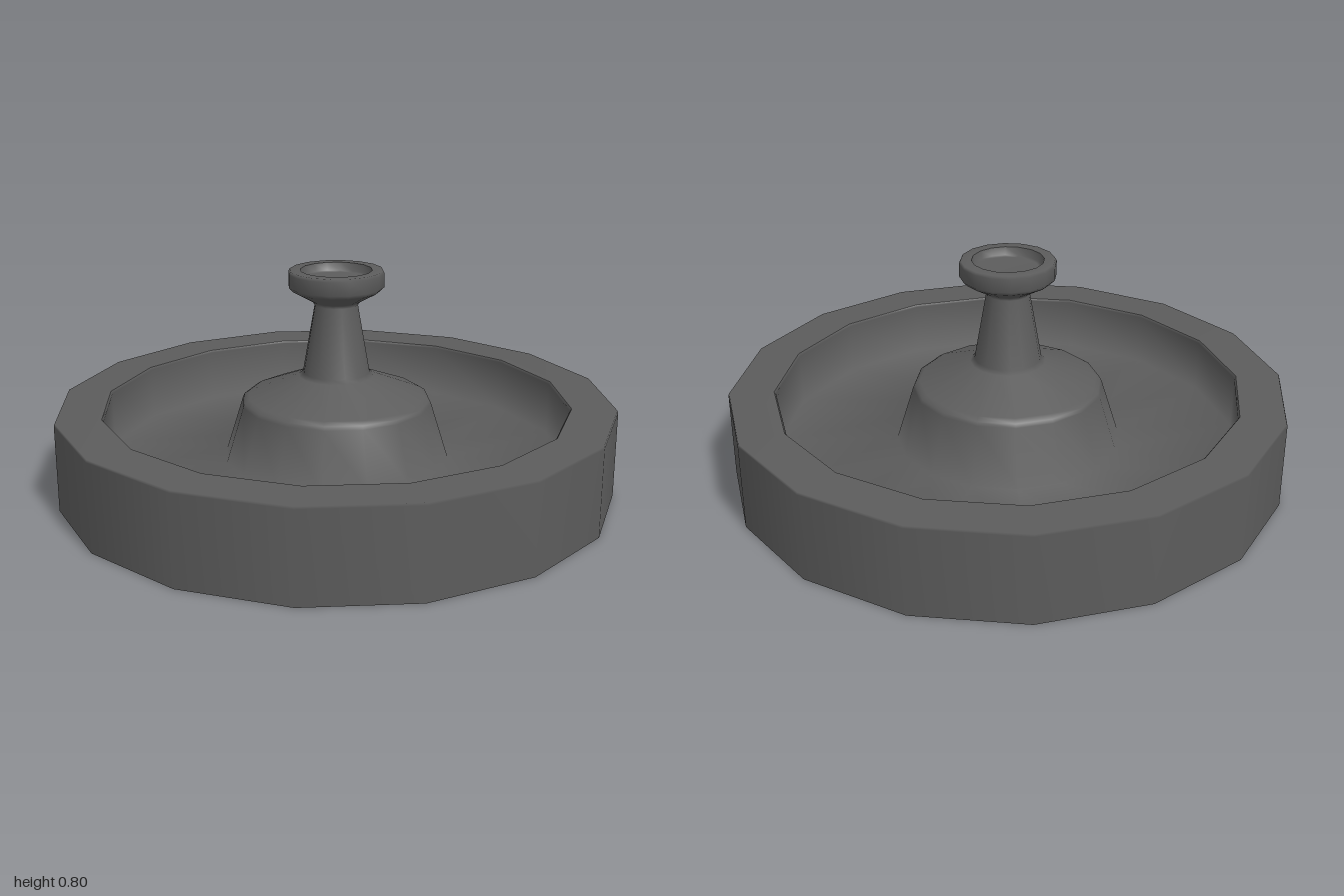
import * as THREE from 'three';

const SIDES = 16;
const material = new THREE.MeshStandardMaterial({ color: 0x5c5c5c, side: THREE.DoubleSide });

// One turned surface; smooth within its profile, creased where two parts meet
function turned(name, profile) {
  const points = profile.map(([r, y]) => new THREE.Vector2(r, y));
  const mesh = new THREE.Mesh(new THREE.LatheGeometry(points, SIDES), material);
  mesh.name = name;
  return mesh;
}

export function createModel() {
  const fountain = new THREE.Group();
  fountain.name = 'fountain';

  fountain.add(
    // Basin: thin outer wall, open underneath, with a broad rim softly rounded outside
    turned('basinOuterWallAndRim', [[1, 0], [1, 0.312], [0.997, 0.32], [0.838, 0.32]]),

    // Inner wall, floor, hollow pedestal and stem flow into each other
    turned('basinInsideAndPedestal', [
      [0.838, 0.32], [0.832, 0.312], [0.832, 0.12], [0.405, 0.12],
      [0.342, 0.32], [0.336, 0.333], [0.318, 0.345],
      [0.135, 0.417], [0.12, 0.43], [0.077, 0.675],
      [0.085, 0.688], [0.155, 0.727], [0.17, 0.742], [0.17, 0.79], [0.165, 0.8], [0.127, 0.8]
    ]),

    // Shallow dish in the top of the small flared bowl
    turned('bowlDish', [[0.127, 0.8], [0.12, 0.772], [0.11, 0.768], [0, 0.765]])
  );
  return fountain;
}
